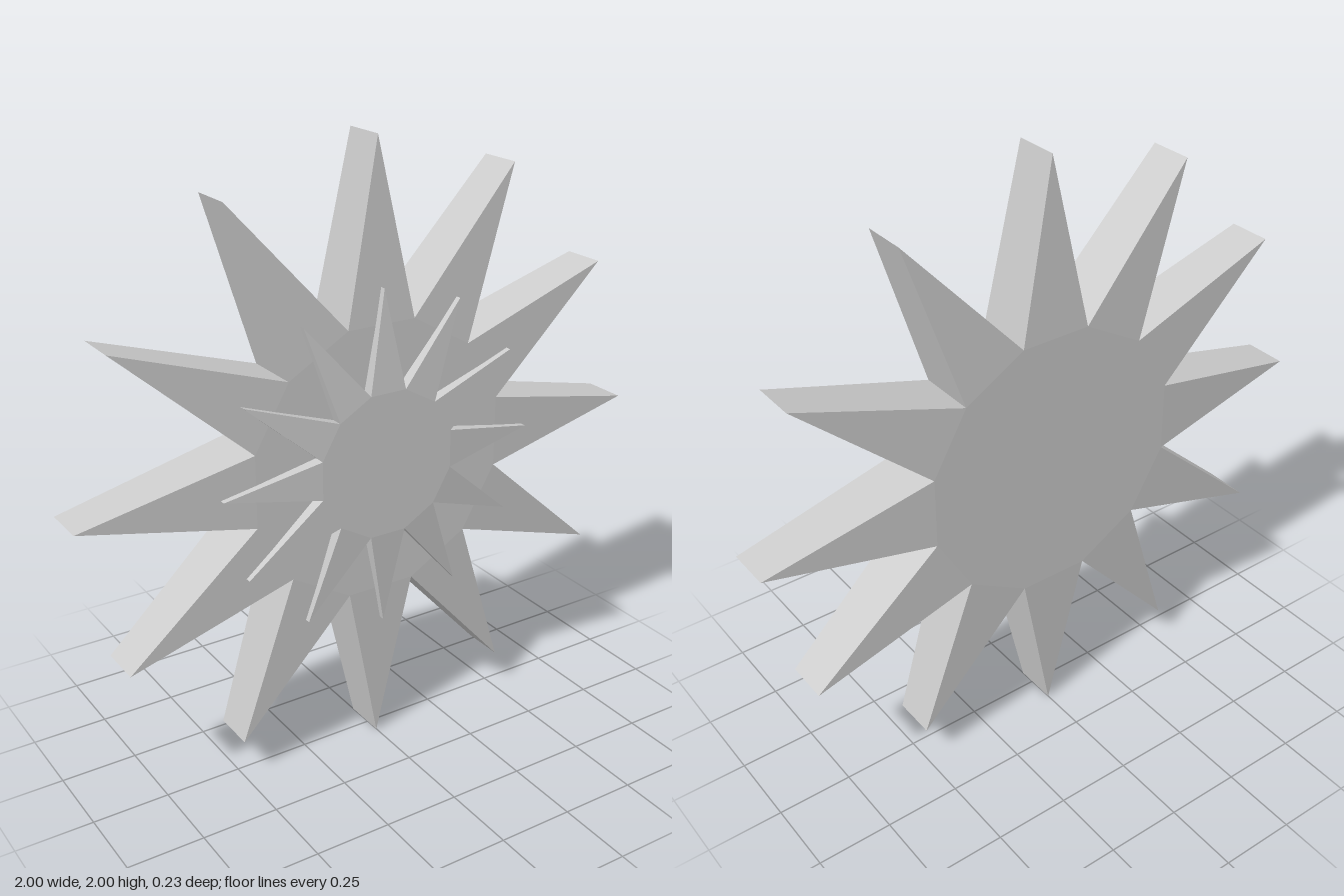
import * as THREE from 'three';

const POINTS = 12;

// Faceted star: flat centre polygon at the valley depth, points sloping to their tips.
function starGeometry({ tipR, valleyR, tipFront, tipBack, valleyFront, valleyBack }) {
  const pos = [];
  const at = (r, step, z) => {
    const a = Math.PI / 2 + (step * Math.PI) / POINTS;
    return [r * Math.cos(a), r * Math.sin(a), z];
  };
  const tri = (a, b, c) => pos.push(...a, ...b, ...c);
  const quad = (a, b, c, d) => { tri(a, b, c); tri(a, c, d); };

  for (let i = 0; i < POINTS; i++) {
    const s = 2 * i;
    // valley before, tip, valley after (counter-clockwise), front and back
    const af = at(valleyR, s - 1, valleyFront), ab = at(valleyR, s - 1, valleyBack);
    const tf = at(tipR, s, tipFront), tb = at(tipR, s, tipBack);
    const bf = at(valleyR, s + 1, valleyFront), bb = at(valleyR, s + 1, valleyBack);
    tri([0, 0, valleyFront], af, bf); // centre
    tri([0, 0, valleyBack], bb, ab);
    tri(af, tf, bf); // sloping point
    tri(bb, tb, ab);
    quad(af, ab, tb, tf); // side walls
    quad(tf, tb, bb, bf);
  }
  const geometry = new THREE.BufferGeometry();
  geometry.setAttribute('position', new THREE.Float32BufferAttribute(pos, 3));
  geometry.computeVertexNormals();
  return geometry;
}

export function createModel() {
  const group = new THREE.Group();
  group.name = 'starburst';
  const material = new THREE.MeshStandardMaterial({ color: 0xcccccc, flatShading: true });
  const add = (name, spec) => {
    const mesh = new THREE.Mesh(starGeometry(spec), material);
    mesh.name = name;
    mesh.position.y = 1;
    group.add(mesh);
  };

  // Large star body
  add('largeStar', {
    tipR: 1, valleyR: 0.456,
    tipFront: 0.054, tipBack: -0.092, valleyFront: 0.078, valleyBack: -0.117,
  });
  // Small raised star on the front, sunk slightly into the body
  add('smallStar', {
    tipR: 0.555, valleyR: 0.243,
    tipFront: 0.092, tipBack: 0.07, valleyFront: 0.117, valleyBack: 0.07,
  });
  return group;
}
